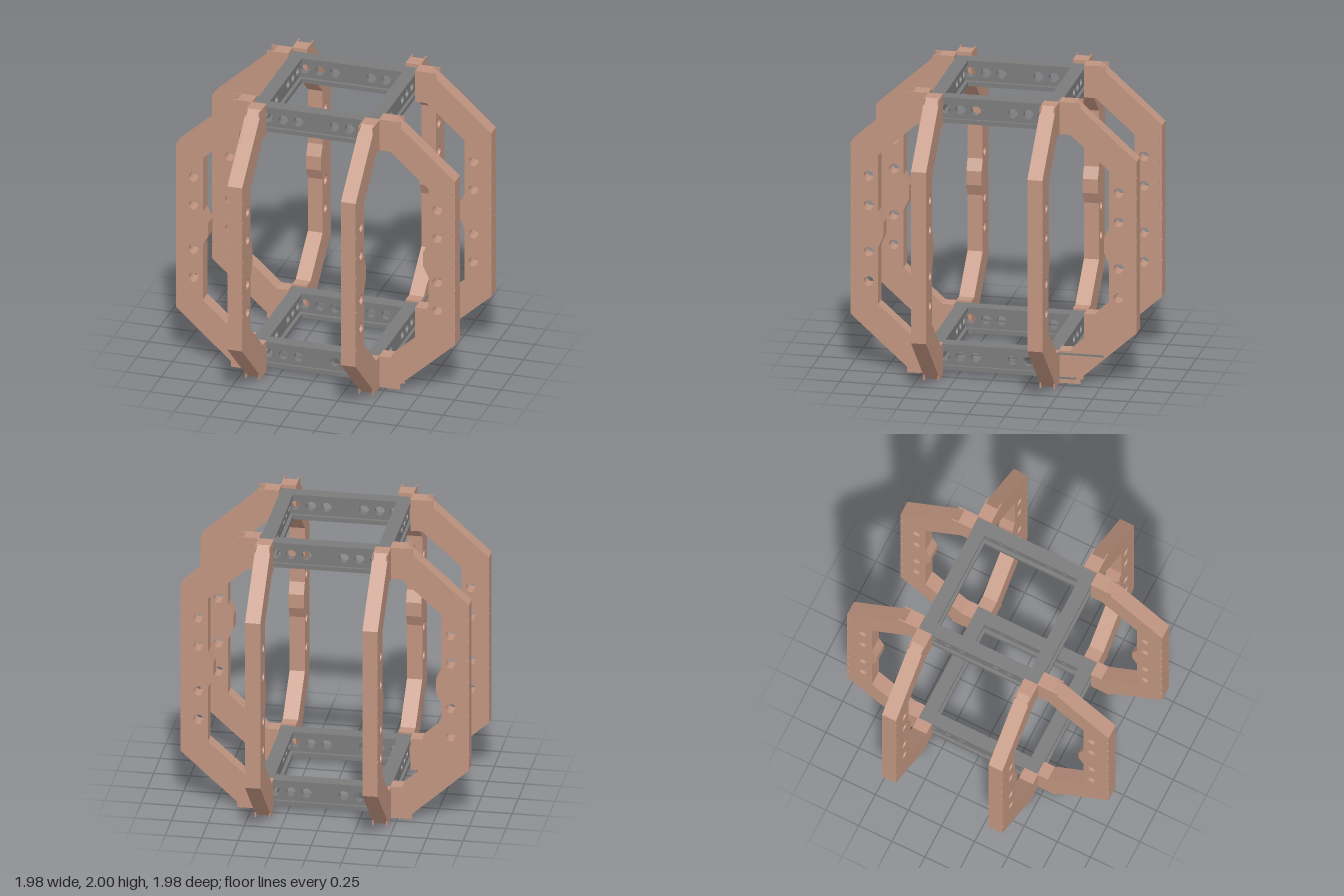
import * as THREE from 'three';

const HOLE_Y = [0.63, 0.84, 1.17, 1.38];
const SLOT_Y = [0.51, 0.65, 0.8, 0.96, 1.05, 1.2, 1.35, 1.5];

function circle(x, y, r) {
  const path = new THREE.Path();
  path.absarc(x, y, r, 0, Math.PI * 2, true);
  return path;
}

// C-shaped outline of an arm; side plates get corner fins and edge slots
function armShape(isPlate) {
  const p = [[0.45, 0]];
  if (isPlate) p.push([0.6, 0], [0.6, 0.04]);
  else p.push([0.555, 0]);
  p.push([0.99, 0.39]);
  if (isPlate) {
    for (const y of SLOT_Y) {
      p.push([0.99, y - 0.007], [0.972, y - 0.007], [0.972, y + 0.007], [0.99, y + 0.007]);
    }
  }
  p.push([0.99, 1.61]);
  if (isPlate) p.push([0.6, 1.96], [0.6, 2]);
  else p.push([0.555, 2]);
  p.push(
    [0.45, 2], [0.45, 1.77], [0.53, 1.77], [0.8, 1.53],
    [0.8, 1.13], [0.763, 1.05], [0.763, 0.95], [0.8, 0.87],
    [0.8, 0.47], [0.53, 0.23], [0.45, 0.23]
  );
  const shape = new THREE.Shape(p.map(([x, y]) => new THREE.Vector2(x, y)));
  for (const y of HOLE_Y) shape.holes.push(circle(0.865, y, 0.034));
  return shape;
}

function extrude(shape, depth, z = 0) {
  const geo = new THREE.ExtrudeGeometry(shape, { depth, bevelEnabled: false, curveSegments: 20 });
  return geo.translate(0, 0, z);
}

function add(parent, name, geo, material) {
  const mesh = new THREE.Mesh(geo, material);
  mesh.name = name;
  parent.add(mesh);
  return mesh;
}

export function createModel() {
  const model = new THREE.Group();
  model.name = 'openFrame';
  const copper = new THREE.MeshStandardMaterial({ color: 0xc09480 });
  copper.name = 'dusty copper';
  const steel = new THREE.MeshStandardMaterial({ color: 0x7b7b7b });
  steel.name = 'steel grey';

  // Eight arms: a pair on each of the four sides
  const plate = 0.008, width = 0.105;
  const coreGeo = extrude(armShape(false), width - 2 * plate, -width / 2 + plate);
  const plateGeo = extrude(armShape(true), plate, -plate / 2);
  for (let i = 0; i < 4; i++) {
    const side = new THREE.Group();
    side.name = 'armPair' + (i + 1);
    side.rotation.y = i * Math.PI / 2;
    for (const s of [-1, 1]) {
      const arm = new THREE.Group();
      arm.name = 'arm';
      arm.position.z = s * 0.4025;
      add(arm, 'armCore', coreGeo, copper);
      for (const t of [-1, 1]) {
        add(arm, 'armSidePlate', plateGeo, copper).position.z = t * (width - plate) / 2;
      }
      side.add(arm);
    }
    model.add(side);
  }

  // Square rings used as beam flanges
  const ring = new THREE.Shape();
  ring.moveTo(-0.45, -0.45).lineTo(0.45, -0.45).lineTo(0.45, 0.45).lineTo(-0.45, 0.45);
  const opening = new THREE.Path();
  opening.moveTo(-0.355, -0.355).lineTo(-0.355, 0.355).lineTo(0.355, 0.355).lineTo(0.355, -0.355);
  ring.holes.push(opening);
  const flangeGeo = extrude(ring, 0.03).rotateX(-Math.PI / 2);

  // Perforated web between the flanges
  const web = new THREE.Shape();
  web.moveTo(-0.43, 0.02).lineTo(0.43, 0.02).lineTo(0.43, 0.16).lineTo(-0.43, 0.16);
  for (const x of [0.128, 0.235, 0.34]) {
    web.holes.push(circle(x, 0.092, 0.034), circle(-x, 0.092, 0.034));
  }
  const webGeo = extrude(web, 0.05, 0.38);

  // Top and bottom square frames
  for (const [name, y] of [['bottomFrame', 0.035], ['topFrame', 1.793]]) {
    const frame = new THREE.Group();
    frame.name = name;
    frame.position.y = y;
    add(frame, 'lowerFlange', flangeGeo, steel);
    add(frame, 'upperFlange', flangeGeo, steel).position.y = 0.152;
    for (let i = 0; i < 4; i++) {
      add(frame, 'beamWeb', webGeo, steel).rotation.y = i * Math.PI / 2;
    }
    model.add(frame);
  }

  // Thin strips along one rear arm
  for (const [y, length] of [[0.21, 0.31], [0.038, 0.12]]) {
    const strip = add(model, 'rearStrip', new THREE.BoxGeometry(0.012, 0.012, length), steel);
    strip.position.set(0.457, y, -0.45 - length / 2);
  }
  return model;
}
